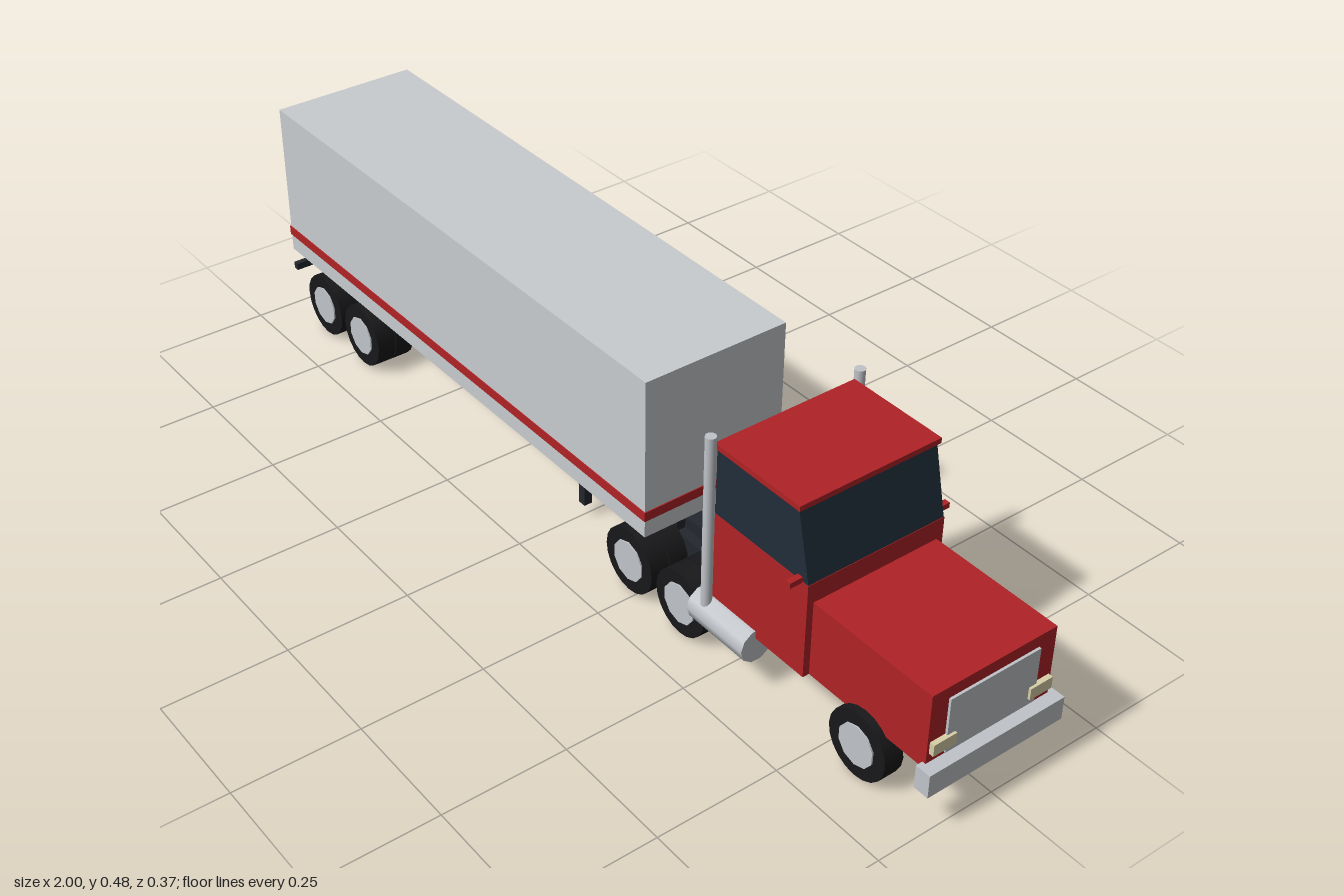
import * as THREE from 'three';

const mat = (color) => new THREE.MeshStandardMaterial({ color });
const RED = mat(0xb02226), GREY = mat(0xc8cccf), CHROME = mat(0xc0c4c9), DARK = mat(0x23272d),
  TIRE = mat(0x18181a), GLASS = mat(0x202d3a), LAMP = mat(0xd8d0a8);

export function createModel() {
  const truck = new THREE.Group();
  truck.name = 'semiTruck';

  const add = (parent, name, geometry, material) => {
    const mesh = new THREE.Mesh(geometry, material);
    mesh.name = name;
    parent.add(mesh);
    return mesh;
  };
  // Box given by its extents along each axis
  const box = (parent, name, material, [x0, x1], [y0, y1], [z0, z1]) => {
    const m = add(parent, name, new THREE.BoxGeometry(x1 - x0, y1 - y0, z1 - z0), material);
    m.position.set((x0 + x1) / 2, (y0 + y1) / 2, (z0 + z1) / 2);
    return m;
  };
  // Cylinder lying along z
  const disc = (parent, name, material, r, width, sides, x, y, z) => {
    const m = add(parent, name, new THREE.CylinderGeometry(r, r, width, sides).rotateX(Math.PI / 2), material);
    m.position.set(x, y, z);
    return m;
  };

  const trailer = new THREE.Group();
  trailer.name = 'trailer';
  const tractor = new THREE.Group();
  tractor.name = 'tractor';
  truck.add(trailer, tractor);

  // Trailer body with a stripe around it, and its frame
  box(trailer, 'cargoBox', GREY, [-0.993, 0.267], [0.143, 0.48], [-0.157, 0.157]);
  box(trailer, 'stripe', RED, [-0.995, 0.269], [0.18, 0.2], [-0.159, 0.159]);
  box(trailer, 'trailerFrame', DARK, [-0.985, 0.262], [0.107, 0.143], [-0.08, 0.08]);
  box(trailer, 'doorSeam', DARK, [-0.998, -0.99], [0.15, 0.465], [-0.004, 0.004]);
  box(trailer, 'rearBumper', DARK, [-1, -0.987], [0.09, 0.105], [-0.155, 0.155]);
  for (const s of [1, -1]) {
    const z = s * 0.095;
    box(trailer, 'landingLeg', DARK, [-0.009, 0.009], [0.03, 0.145], [z - 0.009, z + 0.009]);
    box(trailer, 'tailLight', RED, [-0.998, -0.99], [0.152, 0.174], [s * 0.13 - 0.02, s * 0.13 + 0.02]);
    box(trailer, 'bumperHanger', DARK, [-0.992, -0.98], [0.1, 0.145], [s * 0.07 - 0.007, s * 0.07 + 0.007]);
  }

  // Tractor frame and coupling plate
  box(tractor, 'tractorFrame', DARK, [0.16, 0.972], [0.06, 0.118], [-0.08, 0.08]);
  box(tractor, 'couplingPlate', DARK, [0.2, 0.36], [0.118, 0.143], [-0.06, 0.06]);

  // Cab, hood and roof
  box(tractor, 'cab', RED, [0.452, 0.695], [0.116, 0.313], [-0.152, 0.152]);
  box(tractor, 'hood', RED, [0.695, 0.975], [0.116, 0.272], [-0.138, 0.138]);
  box(tractor, 'roof', RED, [0.452, 0.668], [0.45, 0.461], [-0.155, 0.155]);

  // Glasshouse with a raked windshield
  const side = new THREE.Shape([[0.455, 0.313], [0.694, 0.313], [0.662, 0.45], [0.455, 0.45]]
    .map(([x, y]) => new THREE.Vector2(x, y)));
  const glass = new THREE.ExtrudeGeometry(side, { depth: 0.302, bevelEnabled: false });
  add(tractor, 'windows', glass.translate(0, 0, -0.151), GLASS);
  box(tractor, 'mirrorBar', RED, [0.668, 0.68], [0.311, 0.322], [-0.178, 0.178]);

  // Nose
  box(tractor, 'grille', CHROME, [0.97, 0.98], [0.134, 0.248], [-0.1, 0.1]);
  box(tractor, 'frontBumper', CHROME, [0.968, 1], [0.08, 0.128], [-0.152, 0.152]);

  for (const s of [1, -1]) {
    box(tractor, 'headlight', LAMP, [0.97, 0.985], [0.148, 0.172], [s * 0.108 - 0.025, s * 0.108 + 0.025]);
    // Fuel tank and exhaust stack
    const tank = add(tractor, 'fuelTank',
      new THREE.CylinderGeometry(0.035, 0.035, 0.15, 10).rotateZ(Math.PI / 2), CHROME);
    tank.position.set(0.497, 0.098, s * 0.148);
    const stack = add(tractor, 'exhaustStack', new THREE.CylinderGeometry(0.0105, 0.0105, 0.37, 12), CHROME);
    stack.position.set(0.454, 0.295, s * 0.165);
  }

  // Wheels: dual on the four rear axles, single on the steering axle
  const axles = [
    [trailer, -0.855, [0.144, 0.101]], [trailer, -0.705, [0.144, 0.101]],
    [tractor, 0.23, [0.144, 0.101]], [tractor, 0.38, [0.144, 0.101]],
    [tractor, 0.835, [0.133]],
  ];
  for (const [parent, x, offsets] of axles) {
    disc(parent, 'axle', DARK, 0.012, 0.26, 8, x, 0.07, 0);
    for (const s of [1, -1]) for (const z of offsets) {
      const wheel = new THREE.Group();
      wheel.name = 'wheel';
      wheel.position.set(x, 0.07, s * z);
      parent.add(wheel);
      disc(wheel, 'tire', TIRE, 0.068, 0.041, 20, 0, 0, 0);
      disc(wheel, 'hub', CHROME, 0.042, 0.047, 10, 0, 0, 0);
    }
  }
  return truck;
}
